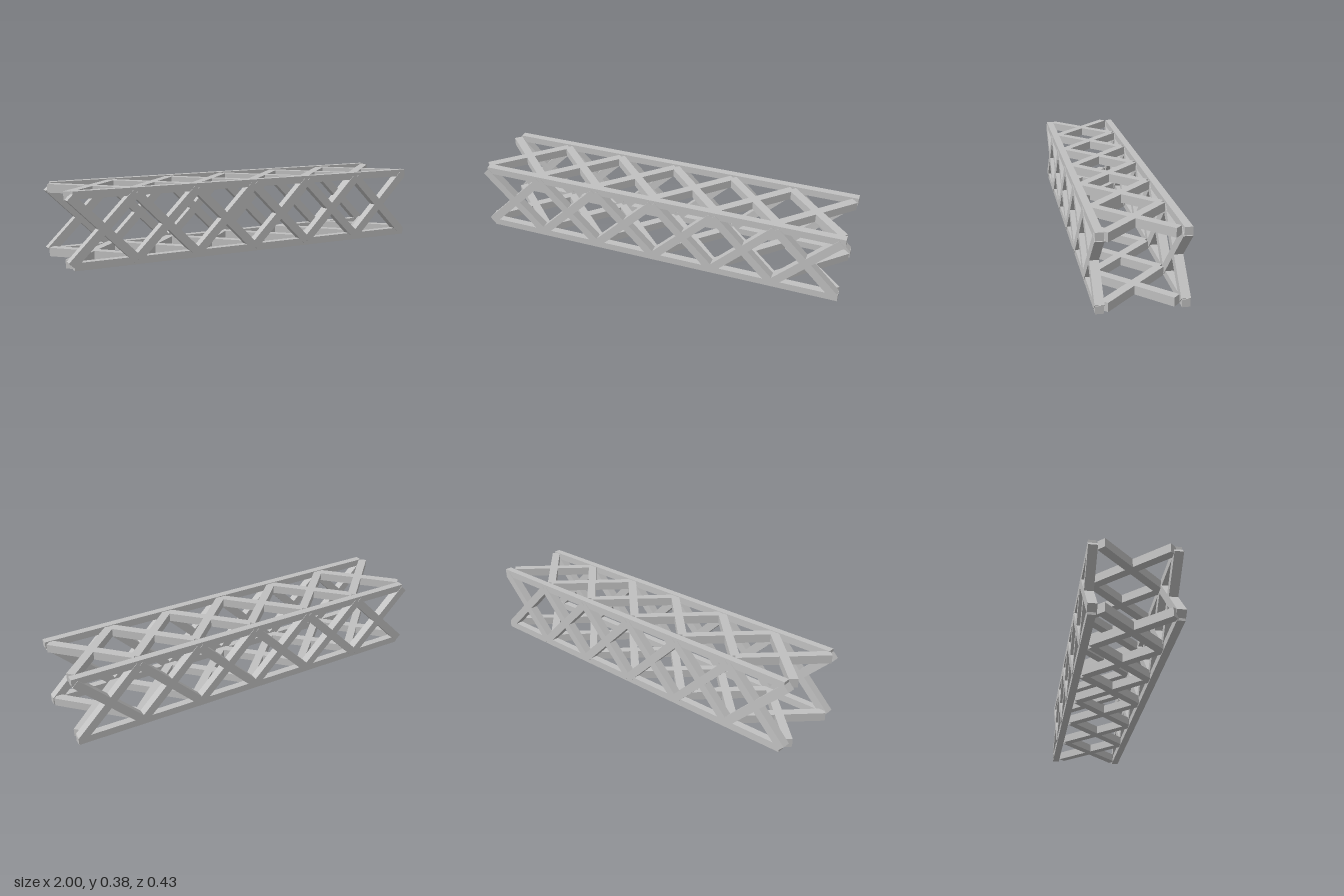
import * as THREE from 'three';

export function createModel() {
  const model = new THREE.Group();
  const steel = new THREE.MeshStandardMaterial({ color: 0xc0c0c0 });
  steel.name = 'light grey steel';

  const BAYS = 6, PITCH = 0.3275, BAR = 0.044, CHORD = 0.038;
  const chordGeometry = new THREE.BoxGeometry(1.97, CHORD, CHORD);
  const braceGeometry = new THREE.BoxGeometry(PITCH * Math.SQRT2, BAR, BAR);

  // Four long corner chords
  for (const y of [0.019, 0.361]) {
    for (const z of [-0.194, 0.194]) {
      const chord = new THREE.Mesh(chordGeometry, steel);
      chord.name = 'cornerChord';
      chord.position.set(0.015, y, z);
      model.add(chord);
    }
  }

  // One lattice panel: a row of crossed square bars in the xy plane
  function crossBracing(name) {
    const panel = new THREE.Group();
    panel.name = name;
    for (let i = 0; i < BAYS; i++) {
      for (const side of [-1, 1]) {
        const brace = new THREE.Mesh(braceGeometry, steel);
        brace.name = 'diagonalBrace';
        brace.position.x = (i - (BAYS - 1) / 2) * PITCH;
        brace.rotation.z = side * Math.PI / 4;
        panel.add(brace);
      }
    }
    model.add(panel);
    return panel;
  }

  // Upright panels, front and back
  crossBracing('frontBracing').position.set(0, 0.189, 0.1935);
  crossBracing('backBracing').position.set(0, 0.189, -0.1935);

  // Flat panels, top and bottom
  for (const [name, y] of [['topBracing', 0.3545], ['bottomBracing', 0.027]]) {
    const panel = crossBracing(name);
    panel.rotation.x = Math.PI / 2;
    panel.position.set(0, y, 0.008);
  }

  return model;
}
